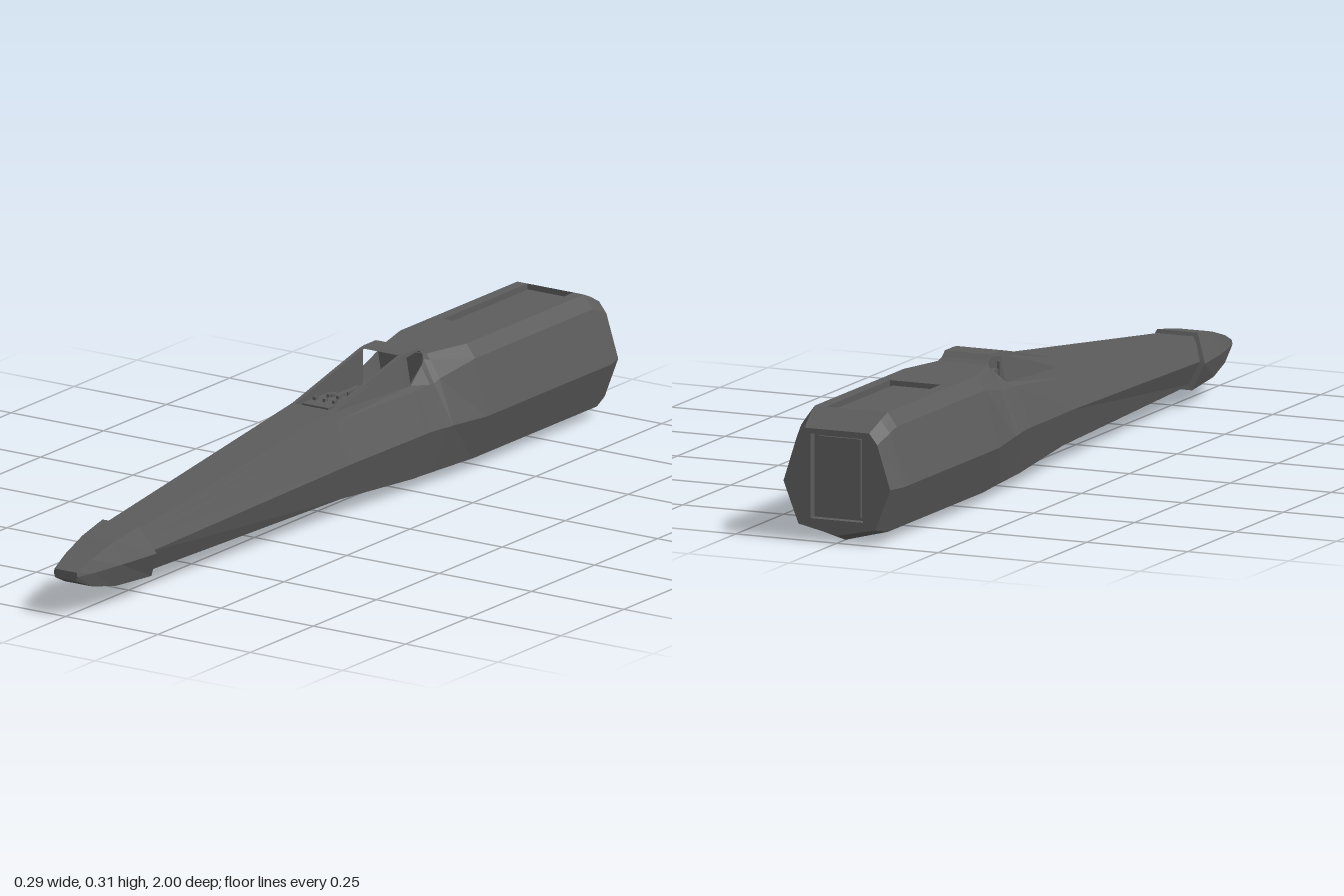
import * as THREE from 'three';

const hullGrey = new THREE.MeshStandardMaterial({ color: 0x5c5c5c, flatShading: true, side: THREE.DoubleSide });
hullGrey.name = 'hull grey';

function mesh(name, geometry, parent, x = 0, y = 0, z = 0) {
  const m = new THREE.Mesh(geometry, hullGrey);
  m.name = name;
  m.position.set(x, y, z);
  parent.add(m);
  return m;
}
const box = (name, w, h, d, x, y, z, parent) => mesh(name, new THREE.BoxGeometry(w, h, d), parent, x, y, z);

// Joins rows of [x, y, z] points with quads; skip(row, column) leaves openings
function loft(rows, { closed = true, capStart = false, capEnd = false, skip = () => false } = {}) {
  const pos = [];
  const tri = (a, b, c) => pos.push(...a, ...b, ...c);
  const n = rows[0].length;
  for (let s = 0; s < rows.length - 1; s++) {
    for (let i = 0; i < (closed ? n : n - 1); i++) {
      if (skip(s, i)) continue;
      const j = (i + 1) % n, A = rows[s], B = rows[s + 1];
      tri(A[i], A[j], B[j]);
      tri(A[i], B[j], B[i]);
    }
  }
  const first = rows[0], last = rows[rows.length - 1];
  for (let i = 1; i < n - 1; i++) {
    if (capStart) tri(first[0], first[i + 1], first[i]);
    if (capEnd) tri(last[0], last[i], last[i + 1]);
  }
  const g = new THREE.BufferGeometry();
  g.setAttribute('position', new THREE.Float32BufferAttribute(pos, 3));
  g.computeVertexNormals();
  return g;
}

// Adds the mirrored half of a section that runs from top to bottom
const mirror = (half) => [...half, ...half.filter((p) => p[0] > 0).reverse().map(([x, y, z]) => [-x, y, z])];

// Open-fronted shallow box, sunk towards -z
function recess(w, h, d) {
  const ring = (z) => [[-w, h, z], [w, h, z], [w, -h, z], [-w, -h, z]].map(([x, y, k]) => [x / 2, y / 2, k]);
  return loft([ring(0), ring(-d)], { capEnd: true });
}

const rear = { top: 0.296, cx: 0.09, rim: 0.062, shoulder: [0.113, 0.265], mid: [0.145, 0.135], low: [0.105, 0.03], keel: 0.003 };
const cabin = { cx: 0.057, rim: 0.047, shoulder: [0.09, 0.235], mid: [0.124, 0.142], low: [0.092, 0.033], keel: 0.032 };
const stations = [
  { z: 0.77, top: 0.16, cx: 0.045, rim: 0.03, mid: [0.066, 0.106], low: [0.042, 0.052], keel: 0.052 },
  { z: 0.02, top: 0.251, cx: 0.055, rim: 0.047, mid: [0.1, 0.132], low: [0.075, 0.048], keel: 0.048 },
  { ...cabin, z: -0.25, top: 0.313, sill: [0.07, 0.242] },
  { ...cabin, z: -0.267, top: 0.315, sill: [0.07, 0.242] },
  { ...cabin, z: -0.315, top: 0.315, sill: [0.066, 0.276], mid: [0.129, 0.141], low: [0.095, 0.032], keel: 0.025 },
  { ...cabin, z: -0.33, top: 0.303, sill: [0.062, 0.287], mid: [0.131, 0.14], low: [0.096, 0.032], keel: 0.022 },
  { ...cabin, z: -0.345, top: 0.296, cx: 0.06, sill: [0.07, 0.283], shoulder: [0.095, 0.243], mid: [0.132, 0.14], low: [0.097, 0.032], keel: 0.02 },
  { ...rear, z: -0.46 },
  { ...rear, z: -0.59 },
  { ...rear, z: -0.925 },
  { ...rear, z: -0.955, top: 0.283, cx: 0.087, shoulder: [0.11, 0.255] },
  { z: -1, top: 0.26, cx: 0.08, rim: 0.06, shoulder: [0.1, 0.235], mid: [0.132, 0.135], low: [0.095, 0.04], keel: 0.02 },
];

function hullSection({ z, top, cx, rim, sill, shoulder, mid, low, keel }) {
  const mix = (a, b, t) => [a[0] + (b[0] - a[0]) * t, a[1] + (b[1] - a[1]) * t];
  const corner = [cx, top];
  const s = shoulder ?? mix(corner, mid, 0.4);
  const d = sill ?? mix(corner, s, 0.5);
  const half = [[0, top], [rim, top], corner, mix(corner, d, 0.14), d, s, mid, low, [0, keel]];
  return mirror(half.map(([x, y]) => [x, y, z]));
}

function buildHull(parent) {
  const rows = stations.map(hullSection);
  const n = rows[0].length;
  // Openings: cockpit, side windows and the rear deck recess
  const skip = (s, i) => {
    const k = Math.min(i, n - 1 - i);
    return (k === 0 && (s === 1 || s === 8)) || (k === 3 && (s === 3 || s === 4));
  };
  mesh('fuselage', loft(rows, { capStart: true, skip }), parent);

  // Tail plate with a sunken panel
  const shape = new THREE.Shape(rows[rows.length - 1].map(([x, y]) => new THREE.Vector2(x, y)));
  const hole = [[-0.065, 0.055], [0.065, 0.055], [0.065, 0.248], [-0.065, 0.248]];
  shape.holes.push(new THREE.Path(hole.map(([x, y]) => new THREE.Vector2(x, y))));
  const plate = new THREE.ShapeGeometry(shape);
  plate.rotateY(Math.PI);
  mesh('tailPlate', plate, parent, 0, 0, -1);
  mesh('tailRecess', recess(0.13, 0.193, 0.02), parent, 0, 0.1515, -1).rotation.y = Math.PI;
  box('tailPanel', 0.105, 0.18, 0.006, 0, 0.1515, -0.983, parent);

  mesh('deckRecess', recess(0.124, 0.335, 0.014), parent, 0, 0.296, -0.7575).rotation.x = -Math.PI / 2;
  box('deckPanel', 0.1, 0.006, 0.31, 0, 0.284, -0.7575, parent);
}

function buildNose(parent) {
  const half = [
    [[0.03, 0.11, 1], [0.032, 0.1, 1], [0.028, 0.09, 1]],
    [[0.036, 0.13, 0.95], [0.045, 0.1, 0.95], [0.037, 0.067, 0.95]],
    [[0.043, 0.153, 0.87], [0.063, 0.102, 0.87], [0.047, 0.05, 0.87]],
    [[0.05, 0.167, 0.78], [0.08, 0.103, 0.755], [0.055, 0.043, 0.74]],
  ];
  mesh('noseCone', loft(half.map(mirror), { capStart: true, capEnd: true }), parent);
}

function buildCockpit(parent) {
  const floor = 0.205;
  const trough = (z, x, y) => [[-x, y, z], [-0.047, floor, z], [0.047, floor, z], [x, y, z]];
  mesh('cockpitTub', loft([trough(0.02, 0.047, 0.251), trough(-0.25, 0.047, 0.313)], { closed: false, capStart: true }), parent);
  mesh('cockpitRear', loft([trough(-0.25, 0.07, 0.242), trough(-0.315, 0.066, 0.276), trough(-0.33, 0.062, 0.287)], { closed: false }), parent);
  box('rearBulkhead', 0.118, 0.094, 0.004, 0, 0.252, -0.333, parent);

  // Seat, dashboard and controls
  box('seatBase', 0.06, 0.02, 0.08, 0, 0.213, -0.19, parent);
  box('seatBack', 0.056, 0.045, 0.018, 0, 0.222, -0.245, parent).rotation.x = -0.3;
  box('dashboard', 0.07, 0.045, 0.1, 0, 0.229, -0.04, parent);
  for (const side of [-1, 1]) box('sideConsole', 0.014, 0.03, 0.13, side * 0.038, 0.22, -0.155, parent);
  for (let i = 0; i < 5; i++) {
    box('dashSwitch', 0.007, 0.008, 0.012, -0.026 + i * 0.013, 0.255, -0.03 - (i % 2) * 0.035, parent);
  }
  const dial = new THREE.CylinderGeometry(0.011, 0.011, 0.008, 10);
  mesh('dial', dial, parent, -0.012, 0.254, -0.075);
  mesh('controlStick', new THREE.CylinderGeometry(0.004, 0.005, 0.045, 6), parent, 0, 0.228, -0.125);
}

export function createModel() {
  const model = new THREE.Group();
  model.name = 'fuselageAssembly';
  buildHull(model);
  buildNose(model);
  const cockpit = new THREE.Group();
  cockpit.name = 'cockpit';
  model.add(cockpit);
  buildCockpit(cockpit);
  return model;
}
